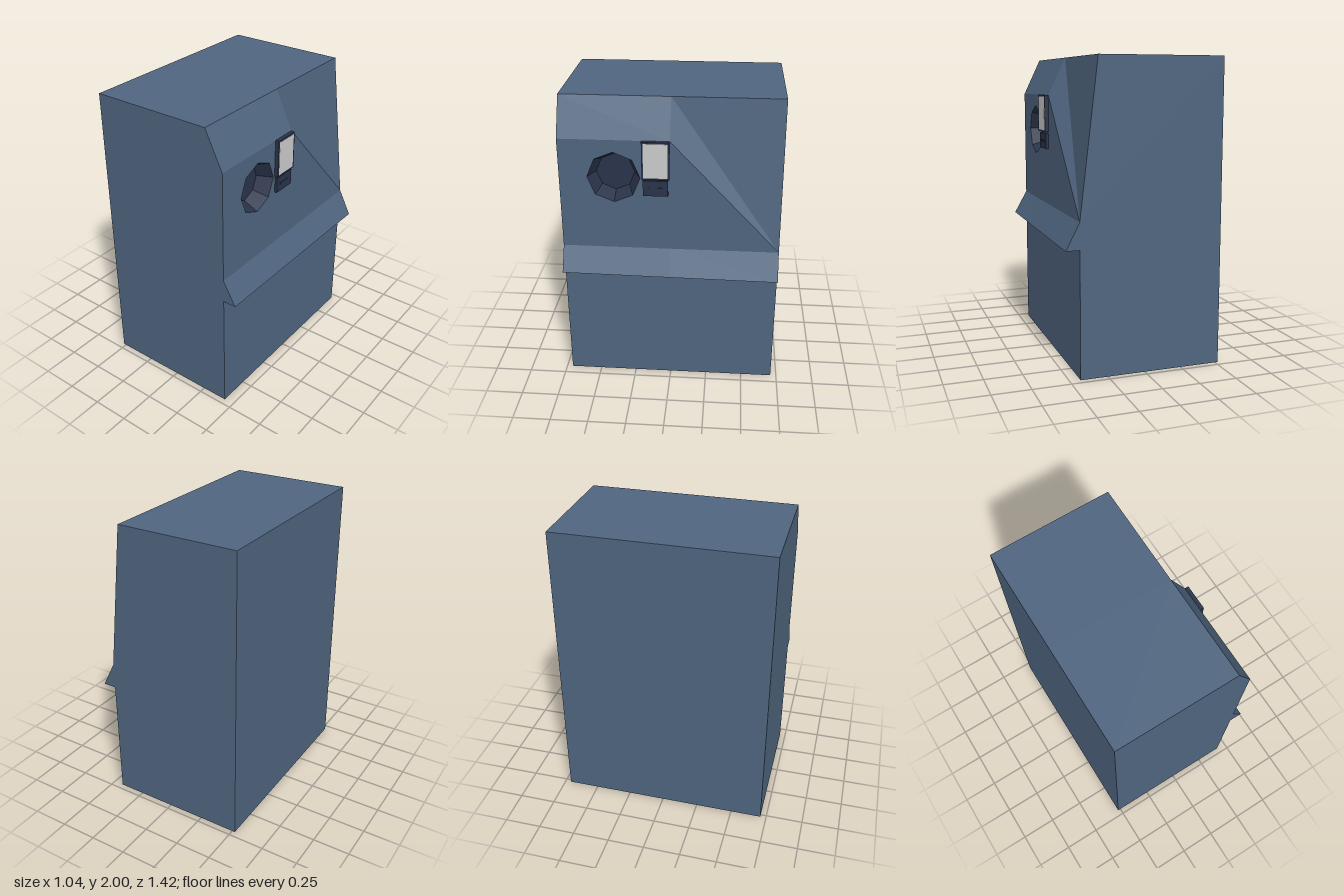
import * as THREE from 'three';
import { mergeGeometries } from 'three/addons/utils/BufferGeometryUtils.js';

const FRONT = 0.71, SIDE = 0.43;
const dialZ = 0.36, dialY = 1.5, dialR = 0.17, dialInner = 0.125, dialDepth = 0.1;

const paint = (color) => new THREE.MeshStandardMaterial({ color, flatShading: true, side: THREE.DoubleSide });

// Cabinet outline in x, y; the lip underside drops slightly towards the back
const outline = (lipY, kink) => [
  [-0.52, 0], [SIDE, 0], [SIDE, lipY], [0.52, lipY], [SIDE, 1], kink, [0.31, 2], [-0.52, 2],
];

// Skin between two outlines, leaving out one face if asked
function skin(a, za, b, zb, skip = -1) {
  const pos = [];
  a.forEach((p, i) => {
    if (i === skip) return;
    const j = (i + 1) % a.length;
    pos.push(...p, za, ...b[i], zb, ...a[j], za);
    if (b[i] !== b[j] && (b[i][0] !== b[j][0] || b[i][1] !== b[j][1])) {
      pos.push(...b[i], zb, ...b[j], zb, ...a[j], za);
    }
  });
  const g = new THREE.BufferGeometry();
  g.setAttribute('position', new THREE.Float32BufferAttribute(pos, 3));
  g.computeVertexNormals();
  return g;
}

const toShape = (pts) => new THREE.Shape(pts.map(([x, y]) => new THREE.Vector2(x, y)));

function plain(g) {
  const n = g.index ? g.toNonIndexed() : g;
  n.deleteAttribute('uv');
  return n;
}

export function createModel() {
  const group = new THREE.Group();
  const blue = paint(0x4f657f), dark = paint(0x29334a), grey = paint(0xcccccc);
  const add = (name, geometry, material, x = 0, y = 0, z = 0) => {
    const mesh = new THREE.Mesh(geometry, material);
    mesh.name = name;
    mesh.position.set(x, y, z);
    group.add(mesh);
  };

  // Cabinet: bevelled front half, rear half tapering to a plain slope
  const front = outline(0.84, [SIDE, 1.75]);
  const middle = outline(0.833, [SIDE, 1.75]);
  const back = outline(0.826, [SIDE, 1]);

  // Panel with the octagonal opening
  const panel = toShape([[-FRONT, 1], [0, 1], [0, 1.75], [-FRONT, 1.75]]);
  const hole = [];
  for (let i = 0; i < 8; i++) {
    const a = -i * Math.PI / 4;
    hole.push(new THREE.Vector2(-dialZ + dialR * Math.cos(a), dialY + dialR * Math.sin(a)));
  }
  panel.holes.push(new THREE.Path(hole));

  const parts = [
    skin(front, FRONT, middle, 0, 4),
    skin(middle, 0, back, -FRONT),
    new THREE.ShapeGeometry(toShape(front)).translate(0, 0, FRONT),
    // Mirrored outline turned round to close the back
    new THREE.ShapeGeometry(toShape(back.filter((p, i) => i !== 5).map(([x, y]) => [-x, y])))
      .rotateY(Math.PI).translate(0, 0, -FRONT),
    new THREE.ShapeGeometry(panel).rotateY(Math.PI / 2).translate(SIDE, 0, 0),
  ];
  add('cabinet', mergeGeometries(parts.map(plain)), blue);

  // Sunken octagonal recess
  const funnel = new THREE.CylinderGeometry(dialR, dialInner, dialDepth, 8, 1, true).rotateZ(-Math.PI / 2);
  add('recessWall', funnel, dark, SIDE - dialDepth / 2, dialY, dialZ);
  add('recessFloor', new THREE.CircleGeometry(dialInner, 8).rotateY(Math.PI / 2), dark,
    SIDE - dialDepth, dialY, dialZ);

  // Display with its frame, and the slot plate below
  add('displayFrame', new THREE.BoxGeometry(0.026, 0.25, 0.175), dark, SIDE + 0.013, 1.626, 0.09);
  add('display', new THREE.BoxGeometry(0.004, 0.228, 0.155), grey, SIDE + 0.025, 1.626, 0.09);
  add('slotPlate', new THREE.BoxGeometry(0.018, 0.105, 0.16), dark, SIDE + 0.009, 1.438, 0.092);
  add('slot', new THREE.BoxGeometry(0.006, 0.012, 0.09), dark, SIDE + 0.018, 1.438, 0.092);

  return group;
}
